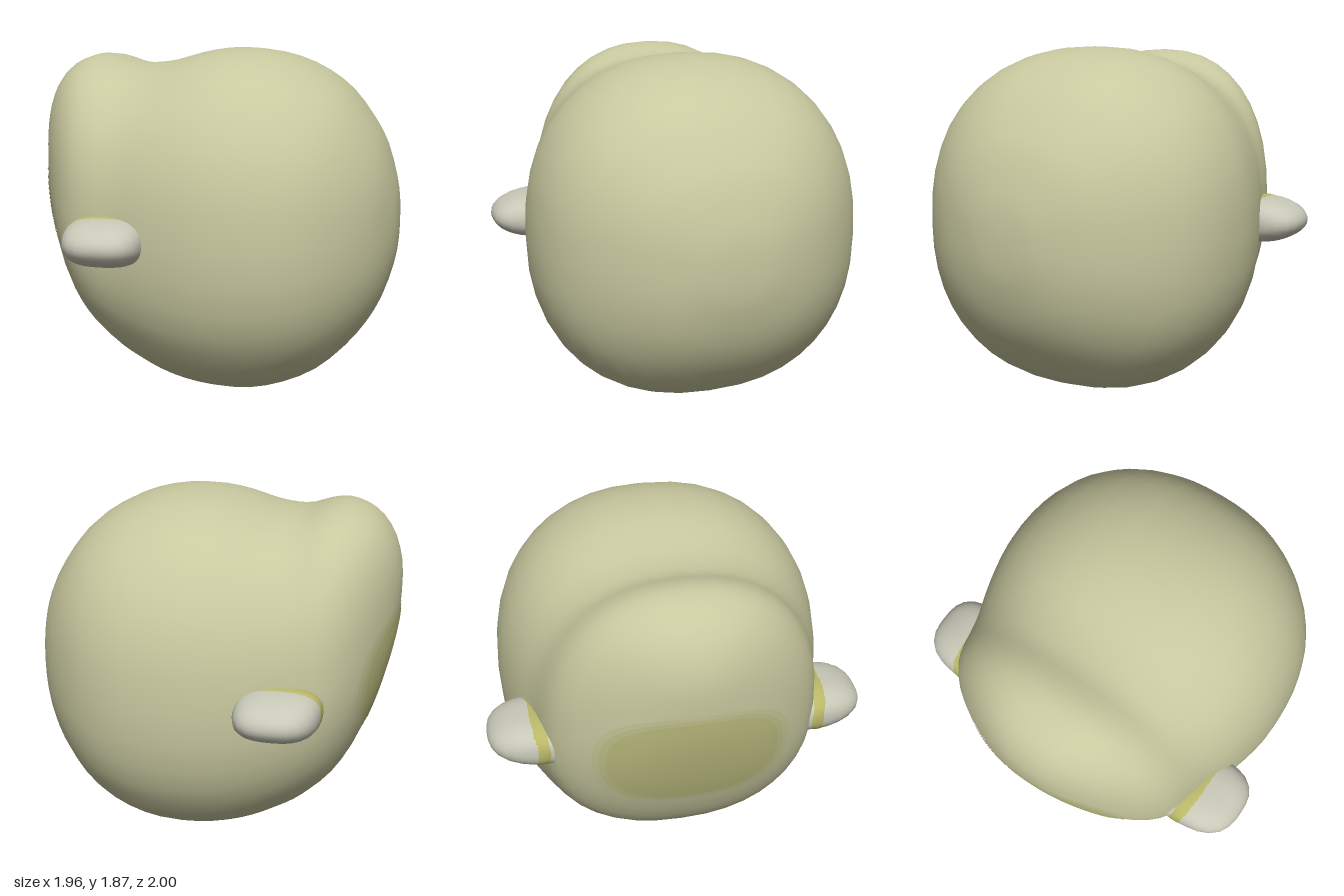
import * as THREE from 'three';
import { mergeVertices } from 'three/addons/utils/BufferGeometryUtils.js';

const material = (color) => new THREE.MeshStandardMaterial({ color });

// Head sections along x: [x, top, bottom, half width, height of widest point]
const sections = [
  [-0.98, 1.4, 1.4, 0, 1.4],
  [-0.97, 1.52, 1.2, 0.13, 1.37],
  [-0.93, 1.65, 0.98, 0.28, 1.27],
  [-0.86, 1.75, 0.73, 0.44, 1.17],
  [-0.77, 1.81, 0.51, 0.58, 1.08],
  [-0.67, 1.835, 0.35, 0.675, 1.01],
  [-0.57, 1.82, 0.25, 0.72, 0.97],
  [-0.48, 1.79, 0.175, 0.745, 0.95],
  [-0.38, 1.785, 0.12, 0.775, 0.93],
  [-0.26, 1.8, 0.065, 0.82, 0.92],
  [-0.12, 1.84, 0.025, 0.86, 0.91],
  [0.04, 1.868, 0.003, 0.89, 0.91],
  [0.22, 1.866, 0.005, 0.89, 0.91],
  [0.4, 1.83, 0.05, 0.86, 0.91],
  [0.57, 1.755, 0.13, 0.785, 0.92],
  [0.71, 1.65, 0.25, 0.67, 0.93],
  [0.82, 1.51, 0.385, 0.54, 0.94],
  [0.9, 1.37, 0.53, 0.4, 0.95],
  [0.955, 1.19, 0.70, 0.24, 0.95],
  [0.975, 1.07, 0.82, 0.13, 0.95],
  [0.98, 0.95, 0.95, 0, 0.95],
];
const spline = (f) => new THREE.CatmullRomCurve3(
  sections.map((s) => new THREE.Vector3(...f(s))), false, 'catmullrom', 0.5);
const heights = spline((s) => [s[0], s[1], s[2]]);
const widths = spline((s) => [s[0], s[3], s[4]]);

function sectionAt(t) {
  const a = heights.getPoint(t), b = widths.getPoint(t);
  return { x: a.x, top: a.y, bottom: a.z, width: b.y, mid: b.z };
}

const spow = (v, e) => Math.sign(v) * Math.abs(v) ** e;
const POWER = 2.3; // squareness of the head sections

// Grid of points; each row wraps round on itself
function ringGrid(rows, sides, point) {
  const pos = [], index = [];
  for (let i = 0; i <= rows; i++)
    for (let j = 0; j < sides; j++) pos.push(...point(i / rows, (j / sides) * Math.PI * 2));
  for (let i = 0; i < rows; i++)
    for (let j = 0; j < sides; j++) {
      const k = (j + 1) % sides;
      const a = i * sides + j, b = i * sides + k, c = a + sides, d = b + sides;
      index.push(a, b, c, b, d, c);
    }
  const grid = new THREE.BufferGeometry();
  grid.setAttribute('position', new THREE.Float32BufferAttribute(pos, 3));
  grid.setIndex(index);
  const merged = mergeVertices(grid, 1e-4);
  merged.computeVertexNormals();
  return merged;
}

function headGeometry() {
  return ringGrid(40, 40, (t, angle) => {
    const s = sectionAt(t), c = Math.cos(angle), n = Math.sin(angle);
    const h = n > 0 ? s.top - s.mid : s.mid - s.bottom;
    return [s.x, s.mid + h * spow(n, 2 / POWER), -s.width * spow(c, 2 / POWER)];
  });
}

// x of the face surface at a given height and depth
function faceX(y, z) {
  let lo = 0, hi = 0.55;
  for (let i = 0; i < 30; i++) {
    const t = (lo + hi) / 2, s = sectionAt(t);
    const h = Math.max(y > s.mid ? s.top - s.mid : s.mid - s.bottom, 1e-5);
    const f = Math.abs(z / Math.max(s.width, 1e-5)) ** POWER + Math.abs((y - s.mid) / h) ** POWER;
    if (f < 1) hi = t; else lo = t;
  }
  return sectionAt(hi).x;
}

// Oval area laid over the face
function facePatchGeometry(scale, offset) {
  return ringGrid(10, 36, (r, angle) => {
    const y = 0.97 + 0.3 * scale * r * spow(Math.sin(angle), 0.8);
    const z = -0.46 * scale * r * spow(Math.cos(angle), 0.8);
    return [faceX(y, z) - offset, y, z];
  });
}

// Pill-like rounded block made from a sphere
function pillGeometry(rx, ry, rz) {
  const g = new THREE.SphereGeometry(1, 28, 20);
  g.deleteAttribute('uv');
  g.deleteAttribute('normal');
  const p = g.attributes.position;
  for (let i = 0; i < p.count; i++) {
    const x = p.getX(i), y = p.getY(i), z = p.getZ(i);
    const k = 1 / (Math.abs(x) ** 2.8 + (y * y + z * z) ** 1.4) ** (1 / 2.8);
    p.setXYZ(i, x * k * rx + 0.02 * z * k, y * k * ry, z * k * rz);
  }
  const merged = mergeVertices(g, 1e-4);
  merged.computeVertexNormals();
  return merged;
}

export function createModel() {
  const model = new THREE.Group();
  model.name = 'head';
  const add = (parent, name, geometry, color) => {
    const mesh = new THREE.Mesh(geometry, material(color));
    mesh.name = name;
    parent.add(mesh);
  };

  add(model, 'skull', headGeometry(), 0xc9c9a0);

  // Darker face area, shaded inwards in thin layers
  [[1.1, 0xc4c496], [1.03, 0xbfbf8a], [0.96, 0xbaba7e]].forEach(([scale, color], i) =>
    add(model, 'facePatch' + (i + 1), facePatchGeometry(scale, 0.003 + 0.002 * i), color));

  // Stubby ears with a yellowish root
  for (const side of [-1, 1]) {
    const ear = new THREE.Group();
    ear.name = side > 0 ? 'frontEar' : 'backEar';
    ear.position.set(-0.45, 0.915, side * 0.74);
    if (side < 0) ear.rotation.x = Math.PI;
    add(ear, 'earTip', pillGeometry(0.212, 0.125, 0.26), 0xc8c8b8);
    add(ear, 'earRoot', pillGeometry(0.213, 0.128, 0.15), 0xb9b868);
    model.add(ear);
  }
  return model;
}
